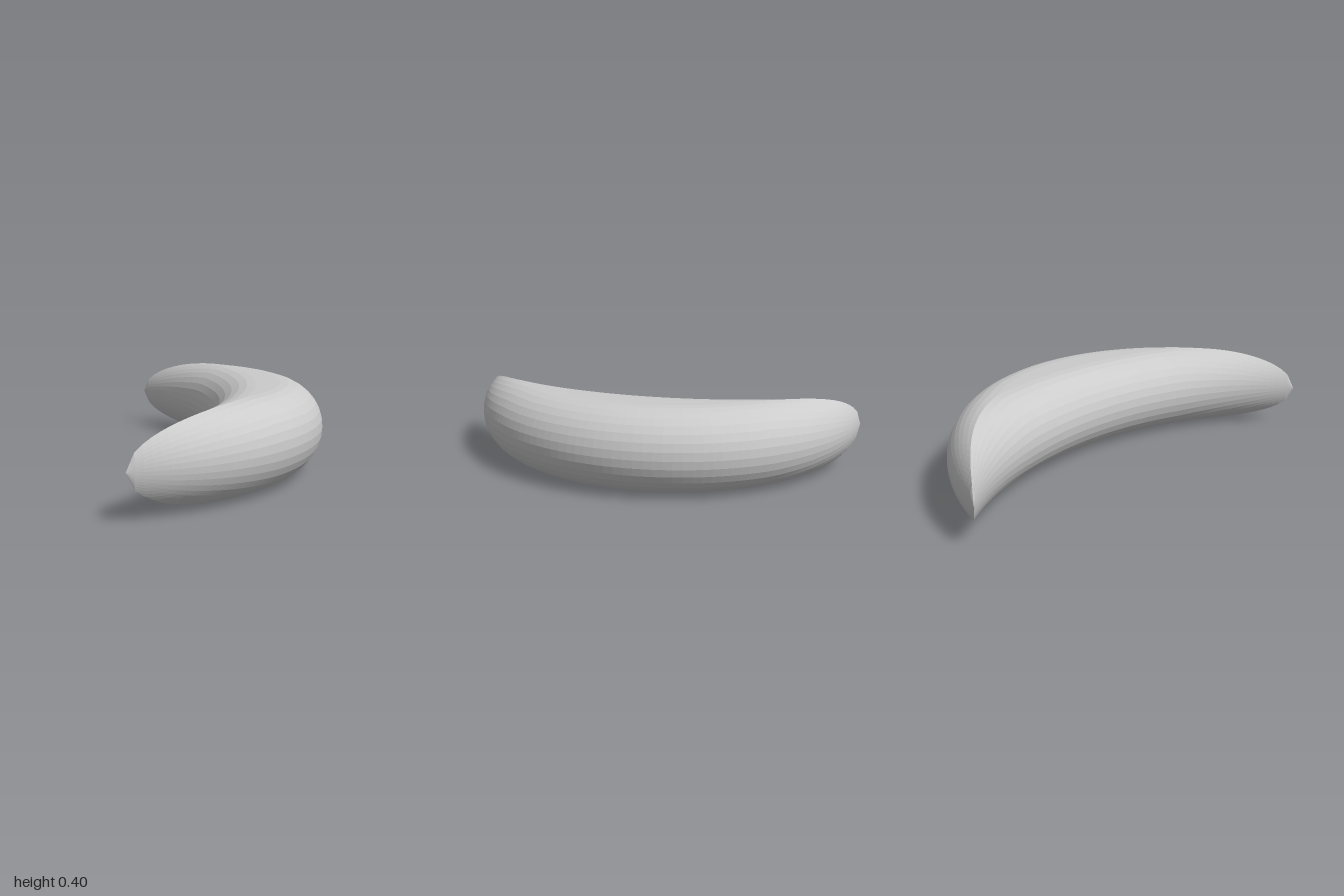
import * as THREE from 'three';

const TIP_X = -0.44, OUTER_X = 0.44, INNER_X = -0.08; // crescent outline, tips at z = ±1
const BEVEL = 0.2;   // edge rounding radius, also half the thickness
const RINGS = 72, STEPS = 16;

// Circle through both tips and the point (x, 0)
function arcThroughTips(x) {
  const sagitta = x - TIP_X;
  const r = (1 + sagitta * sagitta) / (2 * sagitta);
  return { c: x - r, r };
}

// Crescent with rounded edges: cross-sections run between the two arcs through the
// centre line, which is an ellipse whose foci are the centres of the arcs.
function crescentGeometry() {
  const outer = arcThroughTips(OUTER_X), inner = arcThroughTips(INNER_X);
  const a = (outer.r + inner.r) / 2, c = (outer.c - inner.c) / 2;
  const b = Math.sqrt(a * a - c * c), midX = (outer.c + inner.c) / 2;
  const tipAngle = Math.acos((a - outer.r) / c);
  const positions = [], indices = [];

  for (let i = 0; i <= RINGS; i++) {
    const angle = tipAngle * (2 * i / RINGS - 1);
    const mx = midX + a * Math.cos(angle), mz = b * Math.sin(angle);
    const depth = Math.max(0, outer.r - (a - c * Math.cos(angle))); // distance to either edge
    const maxPhi = Math.acos(1 - Math.min(depth, BEVEL) / BEVEL);
    const top = BEVEL * Math.sin(maxPhi);

    // Rounded edge on one side, from phi = -dir * maxPhi to dir * maxPhi
    const addEdge = (arc, side, dir) => {
      const len = Math.hypot(mx - arc.c, mz);
      const nx = (mx - arc.c) / len, nz = mz / len;
      for (let k = 0; k <= STEPS; k++) {
        const phi = dir * maxPhi * (2 * k / STEPS - 1);
        const out = side * (depth - BEVEL * (1 - Math.cos(phi)));
        positions.push(mx + nx * out, BEVEL + BEVEL * Math.sin(phi), mz + nz * out);
      }
    };
    positions.push(mx, BEVEL - top, mz);
    addEdge(outer, 1, 1);
    positions.push(mx, BEVEL + top, mz);
    addEdge(inner, -1, -1);
  }

  const n = 2 * STEPS + 4;
  for (let i = 0; i < RINGS; i++) {
    for (let j = 0; j < n; j++) {
      const p = i * n + j, q = i * n + (j + 1) % n;
      indices.push(p, q, p + n, q, q + n, p + n);
    }
  }
  const indexed = new THREE.BufferGeometry();
  indexed.setAttribute('position', new THREE.Float32BufferAttribute(positions, 3));
  indexed.setIndex(indices);
  const geometry = indexed.toNonIndexed();
  geometry.computeVertexNormals();
  return geometry;
}

export function createModel() {
  const group = new THREE.Group();
  const material = new THREE.MeshStandardMaterial({ color: 0xcccccc, flatShading: true });
  const crescent = new THREE.Mesh(crescentGeometry(), material);
  crescent.name = 'crescent';
  group.add(crescent);
  return group;
}
